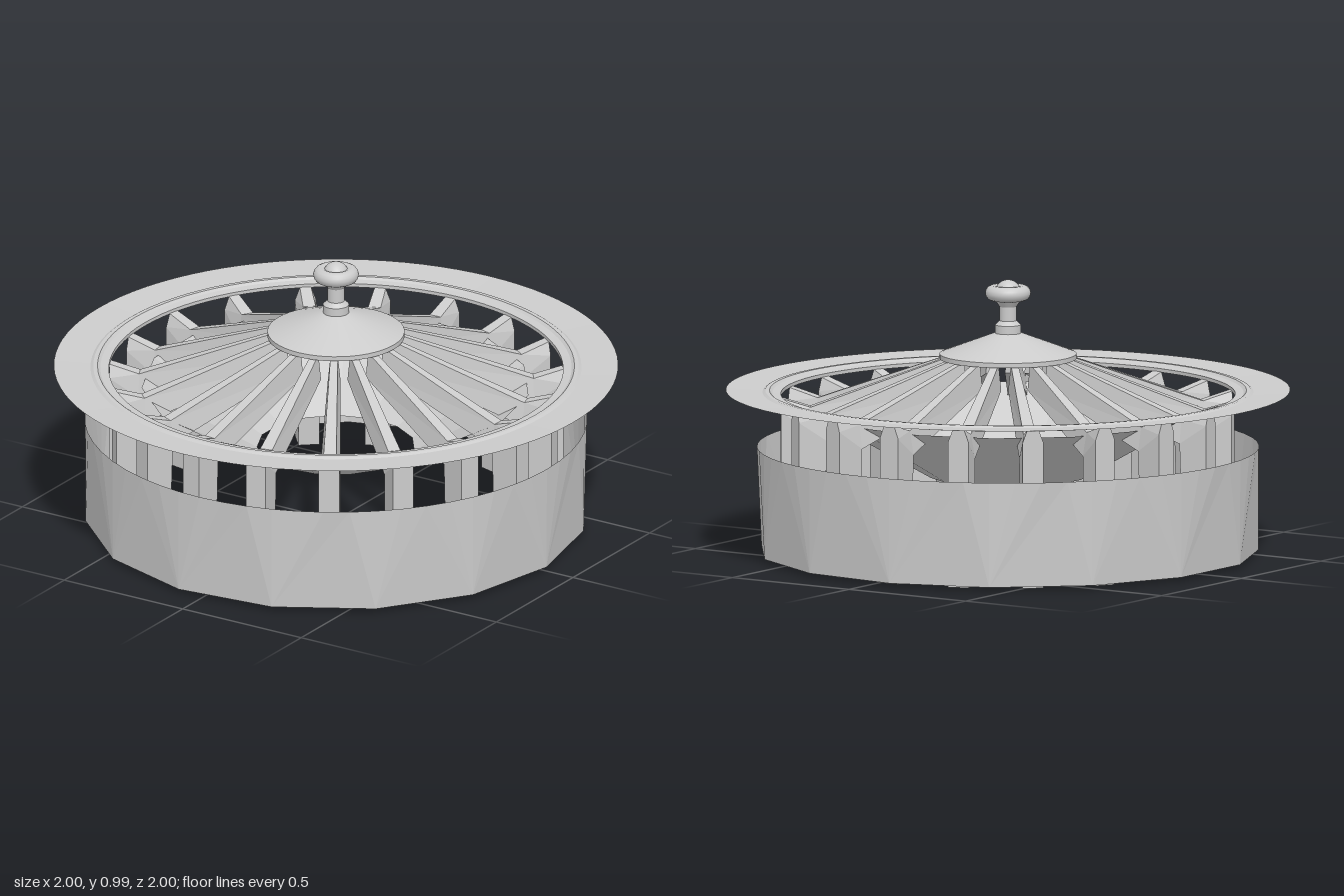
import * as THREE from 'three';

const material = (options = {}) => new THREE.MeshStandardMaterial({ color: 0xcccccc, ...options });
const smooth = material({ side: THREE.DoubleSide });
const faceted = material({ side: THREE.DoubleSide, flatShading: true });

const points = list => list.map(([r, y]) => new THREE.Vector2(r, y));

function add(group, name, geometry, mat) {
  const mesh = new THREE.Mesh(geometry, mat);
  mesh.name = name;
  group.add(mesh);
  return mesh;
}

// Lathe with hard edges: each pair of profile points becomes its own strip
function hardLathe(group, name, profile, segments) {
  const part = new THREE.Group();
  part.name = name;
  for (let i = 0; i < profile.length - 1; i++) {
    add(part, name + 'Strip', new THREE.LatheGeometry(points([profile[i], profile[i + 1]]), segments), smooth);
  }
  group.add(part);
}

// Sloping grate bar that turns down into a post; each point is [radius, height, width]
function ribGeometry() {
  const outline = [
    [0.21, 0.62, 0.045], [0.70, 0.45, 0.075], [0.715, 0, 0.075], [0.805, 0, 0.075],
    [0.805, 0.52, 0.075], [0.805, 0.567, 0.04], [0.70, 0.535, 0.045], [0.21, 0.712, 0.026],
  ];
  const geometry = new THREE.ExtrudeGeometry(new THREE.Shape(points(outline)), { depth: 1, bevelEnabled: false });
  const pos = geometry.attributes.position;
  for (let i = 0; i < pos.count; i++) {
    const corner = outline.find(([r, y]) => Math.hypot(r - pos.getX(i), y - pos.getY(i)) < 1e-4);
    pos.setZ(i, (pos.getZ(i) - 0.5) * corner[2]);
  }
  geometry.computeVertexNormals();
  return geometry;
}

// Skirt whose round top edge runs into a 15-sided bottom edge
function skirtGeometry() {
  const geometry = new THREE.CylinderGeometry(0.89, 0.89, 0.375, 60, 1, true);
  geometry.translate(0, 0.2025, 0);
  const pos = geometry.attributes.position;
  const step = Math.PI * 2 / 15;
  for (let i = 0; i < pos.count; i++) {
    if (pos.getY(i) > 0.2) continue;
    const angle = Math.round(Math.atan2(pos.getZ(i), pos.getX(i)) / step) * step;
    pos.setXYZ(i, 0.888 * Math.cos(angle), 0.015, 0.888 * Math.sin(angle));
  }
  geometry.computeVertexNormals();
  return geometry;
}

export function createModel() {
  const model = new THREE.Group();
  model.name = 'domedDrainGrate';

  // Thin outer flange with a low bead
  hardLathe(model, 'flange', [
    [0.805, 0.565], [0.86, 0.57], [1.0, 0.592], [0.87, 0.584],
    [0.86, 0.59], [0.845, 0.59], [0.835, 0.582], [0.805, 0.578], [0.805, 0.565],
  ], 96);

  // Lower skirt
  add(model, 'skirt', skirtGeometry(), faceted);

  // Funnel below the bars
  const funnel = new THREE.CylinderGeometry(0.69, 0.28, 0.235, 15, 1, true);
  funnel.rotateY(Math.PI / 2).translate(0, 0.4025, 0);
  add(model, 'funnel', funnel, faceted);

  // Ring of bars and posts
  const ribs = new THREE.Group();
  ribs.name = 'ribs';
  const geometry = ribGeometry();
  const count = 19;
  for (let i = 0; i < count; i++) {
    add(ribs, 'rib', geometry, faceted).rotation.y = -0.035 + i * Math.PI * 2 / count;
  }
  model.add(ribs);

  // Hub cap
  hardLathe(model, 'hubCap', [[0, 0.705], [0.243, 0.705], [0.243, 0.722], [0.05, 0.795], [0, 0.8]], 48);

  // Knob: collar, stem and rounded grip
  hardLathe(model, 'knobStem', [
    [0.046, 0.79], [0.046, 0.825], [0.03, 0.84], [0.03, 0.89], [0.045, 0.912], [0, 0.912],
  ], 32);
  const grip = new THREE.TorusGeometry(0.054, 0.027, 14, 40);
  grip.rotateX(Math.PI / 2).translate(0, 0.939, 0);
  add(model, 'knobGrip', grip, smooth);
  const dome = new THREE.SphereGeometry(0.046, 28, 14);
  dome.translate(0, 0.94, 0);
  add(model, 'knobDome', dome, smooth);

  return model;
}
